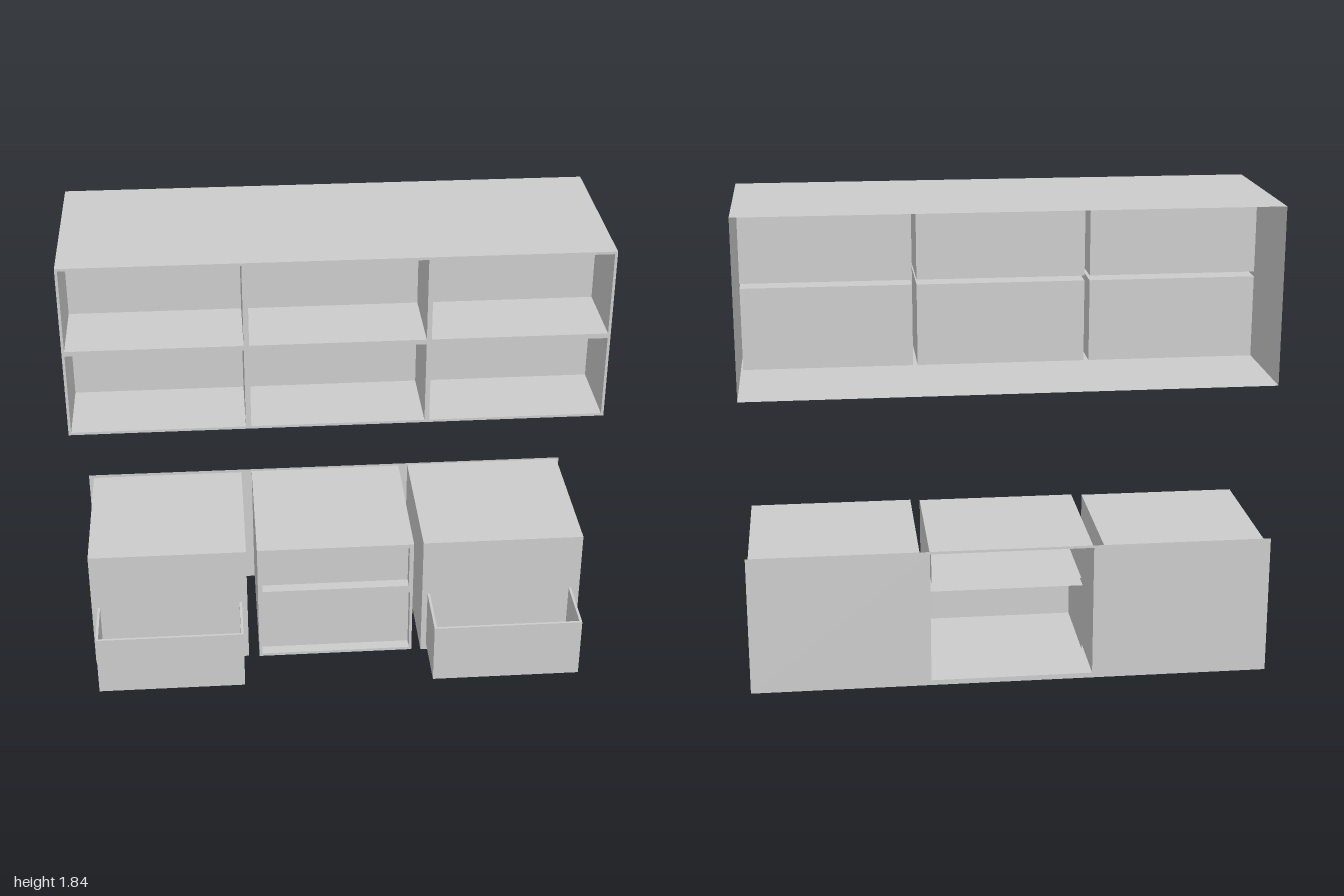
import * as THREE from 'three';

const material = new THREE.MeshStandardMaterial({ color: 0xcccccc, side: THREE.DoubleSide });
const SIDES = ['left', 'right', 'top', 'bottom', 'front', 'back'];

// Thin-walled box between two limits on each axis, leaving out the named sides
function shell(name, [x0, x1], [y0, y1], [z0, z1], open = []) {
  const geo = new THREE.BoxGeometry(x1 - x0, y1 - y0, z1 - z0);
  const index = Array.from(geo.index.array);
  geo.setIndex(index.filter((_, i) => !open.includes(SIDES[Math.floor(i / 6)])));
  geo.clearGroups();
  geo.translate((x0 + x1) / 2, (y0 + y1) / 2, (z0 + z1) / 2);
  const mesh = new THREE.Mesh(geo, material);
  mesh.name = name;
  return mesh;
}

function rectangle(path, [x0, x1], [y0, y1]) {
  path.moveTo(x0, y0).lineTo(x1, y0).lineTo(x1, y1).lineTo(x0, y1).closePath();
  return path;
}

// Flat upright sheet at depth z with rectangular openings [[x range], [y range]]
function sheet(name, xs, ys, z, openings = []) {
  const shape = rectangle(new THREE.Shape(), xs, ys);
  for (const [hx, hy] of openings) shape.holes.push(rectangle(new THREE.Path(), hx, hy));
  const mesh = new THREE.Mesh(new THREE.ShapeGeometry(shape), material);
  mesh.name = name;
  mesh.position.z = z;
  return mesh;
}

// Wall unit: shell open at the back, with six cubbies sunk into its front
function wallUnit() {
  const unit = new THREE.Group();
  unit.name = 'wallUnit';
  const columns = [[-0.99, -0.345], [-0.325, 0.322], [0.34, 0.99]];
  const rows = [[1.17, 1.488], [1.507, 1.825]];
  const cells = [];
  for (const xs of columns) for (const ys of rows) cells.push([xs, ys]);
  unit.add(shell('wallUnitCase', [-1, 1], [1.16, 1.835], [-0.42, 0.28], ['front', 'back']));
  unit.add(sheet('wallUnitFrontFrame', [-1, 1], [1.16, 1.835], 0.28, cells));
  for (const [xs, ys] of cells) unit.add(shell('cubby', xs, ys, [-0.025, 0.28], ['front']));
  return unit;
}

// Side cabinet with an open-topped drawer pulled out of its front
function sideCabinet(name, xs, ys, drawerXs, drawerFront) {
  const cabinet = new THREE.Group();
  cabinet.name = name;
  const [x0, x1] = drawerXs, t = 0.01, y0 = 0.048, y1 = 0.297, z0 = 0.18;
  cabinet.add(
    shell('cabinetBody', xs, ys, [-0.42, z0], ['back']),
    shell('drawerFront', drawerXs, [y0, y1], [drawerFront - t, drawerFront]),
    shell('drawerSide', [x0, x0 + t], [y0, y1], [z0, drawerFront - t]),
    shell('drawerSide', [x1 - t, x1], [y0, y1], [z0, drawerFront - t]),
    shell('drawerBottom', [x0 + t, x1 - t], [y0, y0 + t], [z0, drawerFront - t])
  );
  return cabinet;
}

// Middle cabinet: open at the back, with two recessed drawers in sleeves
function middleCabinet() {
  const cabinet = new THREE.Group();
  cabinet.name = 'middleCabinet';
  const xs = [-0.315, 0.31], ys = [0.02, 0.54];
  const bays = [[[-0.297, 0.293], [0.34, 0.523]], [[-0.303, 0.299], [0.032, 0.308]]];
  cabinet.add(shell('middleCase', xs, ys, [-0.42, 0.18], ['front', 'back']));
  cabinet.add(sheet('middleFrontFrame', xs, ys, 0.18, bays));
  for (const [bx, by] of bays) {
    cabinet.add(shell('drawerSleeve', bx, by, [-0.23, 0.18], ['front', 'back']));
    cabinet.add(sheet('recessedDrawerFront', bx, by, 0.135));
  }
  return cabinet;
}

export function createModel() {
  const model = new THREE.Group();
  model.name = 'storageUnits';

  const base = new THREE.Group();
  base.name = 'baseUnit';
  base.add(
    sheet('backPanel', [-1, 1], [0, 0.55], -0.42, [[[-0.315, 0.31], [0.02, 0.54]]]),
    sideCabinet('rightCabinet', [-0.98, -0.358], [0.024, 0.537], [-0.957, -0.38], 0.397),
    sideCabinet('leftCabinet', [0.348, 0.99], [0.017, 0.543], [0.37, 0.957], 0.416),
    middleCabinet()
  );

  model.add(wallUnit(), base);
  return model;
}
